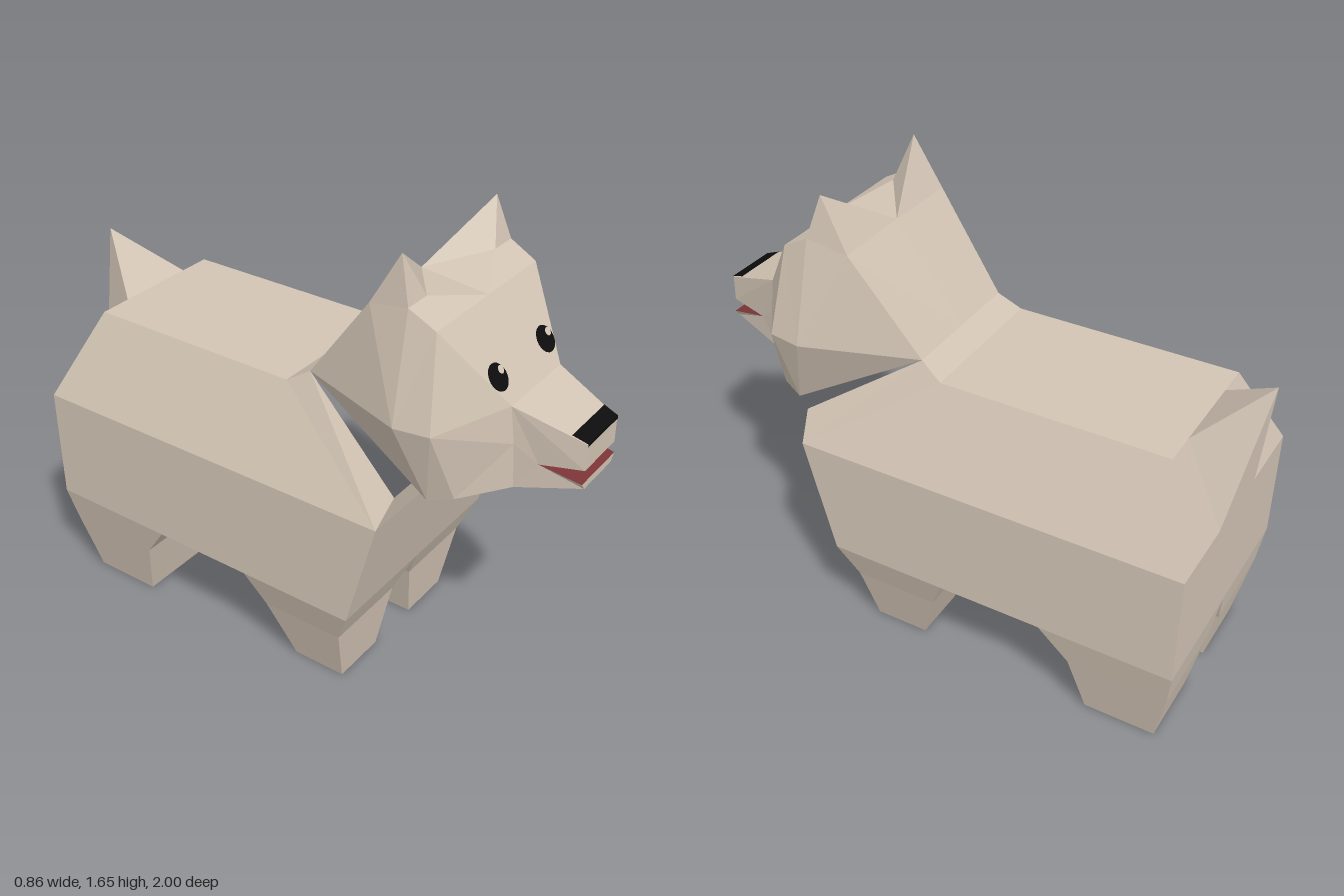
import * as THREE from 'three';

const mat = (name, color) => {
  const m = new THREE.MeshStandardMaterial({ color });
  m.name = name;
  return m;
};

// Builds faceted faces turned away from a centre point; also mirrors them across x = 0.
function facets(name, material, centre, polys, mirror = true) {
  const pos = [], c = new THREE.Vector3(...centre);
  for (const poly of polys) {
    for (let i = 1; i < poly.length - 1; i++) {
      const [a, b, d] = [poly[0], poly[i], poly[i + 1]].map(p => new THREE.Vector3(...p));
      const n = b.clone().sub(a).cross(d.clone().sub(a));
      const mid = a.clone().add(b).add(d).divideScalar(3).sub(c);
      const tri = n.dot(mid) >= 0 ? [a, b, d] : [a, d, b];
      for (const v of tri) pos.push(v.x, v.y, v.z);
      if (mirror) for (const v of [tri[0], tri[2], tri[1]]) pos.push(-v.x, v.y, v.z);
    }
  }
  const g = new THREE.BufferGeometry();
  g.setAttribute('position', new THREE.Float32BufferAttribute(pos, 3));
  g.computeVertexNormals();
  const mesh = new THREE.Mesh(g, material);
  mesh.name = name;
  return mesh;
}

const mid = ([, y, z]) => [0, y, z]; // point moved to the centre line

export function createModel() {
  const fur = mat('fur', 0xd2c4b4);
  const black = mat('black', 0x0c0c0c);
  const red = mat('mouth red', 0x7a3336);
  const model = new THREE.Group();
  model.name = 'dog';

  // Body: half of the trunk, mirrored
  const neck = [0.25, 1.14, 0.1], topF = [0.27, 1.09, 0.02], topB = [0.27, 1.09, -0.79];
  const chest = [0.36, 0.875, 0.5], sideF = [0.43, 0.78, 0.48], sideB = [0.43, 0.78, -0.925];
  const lowF = [0.43, 0.365, 0.37], lowB = [0.43, 0.365, -0.92];
  const tailTop = [0.15, 1.09, -0.79], tailLow = [0.15, 0.78, -0.925], tailTip = [0, 1.26, -1];
  model.add(facets('body', fur, [0, 0.65, -0.2], [
    [topF, mid(topF), mid(topB), topB],
    [neck, mid(neck), mid(topF), topF],
    [topF, topB, sideB, sideF],
    [neck, topF, sideF],
    [neck, sideF, chest],
    [sideF, sideB, lowB, lowF],
    [chest, mid(chest), mid(sideF), sideF],
    [sideF, mid(sideF), mid(lowF), lowF],
    [topB, tailTop, tailLow, sideB],
    [sideB, tailLow, mid(lowB), lowB],
    [lowF, mid(lowF), mid(lowB), lowB],
  ]));

  // Tail: upright spike growing out of the rump
  model.add(facets('tail', fur, [0, 0.95, -0.88], [
    [tailTop, mid(tailTop), tailTip],
    [tailTop, tailTip, tailLow],
    [tailTip, tailLow, mid(lowB)],
  ]));

  // Legs: three stacked rectangles of [y, inner x, outer x, back z, front z]
  const legs = {
    frontLeg: [[0.365, 0, 0.43, -0.06, 0.37], [0.23, 0.055, 0.385, 0, 0.31], [0, 0.11, 0.32, 0.08, 0.28]],
    backLeg: [[0.365, 0, 0.43, -0.92, -0.44], [0.23, 0.05, 0.4, -0.9, -0.54], [0, 0.085, 0.35, -0.85, -0.59]],
  };
  for (const [name, rows] of Object.entries(legs)) {
    const rings = rows.map(([y, x0, x1, z0, z1]) => [[x0, y, z0], [x1, y, z0], [x1, y, z1], [x0, y, z1]]);
    const polys = [rings[2]];
    for (let r = 0; r < 2; r++) for (let i = 0; i < 4; i++) {
      const j = (i + 1) % 4;
      polys.push([rings[r][i], rings[r][j], rings[r + 1][j], rings[r + 1][i]]);
    }
    const z = (rows[1][3] + rows[1][4]) / 2;
    model.add(facets(name + 's', fur, [0.22, 0.2, z], polys));
  }

  // Head
  const brow = [0.295, 1.45, 0.585], earOut = [0.3, 1.5, 0.49], earIn = [0.2, 1.5, 0.49];
  const crown = [0, 1.475, 0.345], earBack = [0.285, 1.47, 0.345], earTip = [0.27, 1.65, 0.445];
  const cheekB = [0.385, 1.14, 0.5], cheekF = [0.365, 1.14, 0.62];
  const jawB = [0.3, 0.865, 0.58], jawF = [0.27, 0.885, 0.66];
  const root = [0.155, 1.2, 0.77], lip = [0.15, 1.07, 0.785], throat = [0.14, 0.91, 0.79];
  const throat0 = [0, 0.885, 0.79];
  model.add(facets('head', fur, [0, 1.12, 0.5], [
    [crown, earIn, mid(brow)],
    [brow, mid(brow), earIn],
    [brow, earIn, earOut],
    [brow, mid(brow), mid(root), root],
    [brow, root, cheekF],
    [brow, cheekF, cheekB],
    [cheekB, brow, earOut, earBack],
    [earBack, cheekB, neck],
    [earBack, crown, mid(neck), neck],
    [neck, cheekB, jawB],
    [cheekB, cheekF, jawB],
    [cheekF, jawF, jawB],
    [cheekF, lip, jawF],
    [cheekF, root, lip],
    [lip, throat, jawF],
    [jawB, jawF, throat, throat0, mid(jawB)],
    [jawB, mid(jawB), mid(chest), chest],
    [neck, jawB, chest],
  ]));

  // Ears
  model.add(facets('ears', fur, [0.24, 1.52, 0.43], [
    [earTip, earOut, earIn],
    [earTip, earIn, crown],
    [earTip, crown, earBack],
    [earTip, earBack, earOut],
  ]));

  // Muzzle and lower jaw with an open mouth between them
  const tip = [0.097, 1.12, 1], upper = [0.1, 1.03, 1], corner = [0.125, 1.012, 0.86];
  const lower = [0.11, 0.985, 1], chin = [0.09, 0.96, 1];
  const muzzleC = [0, 1.09, 0.85], jawC = [0, 0.95, 0.85];
  model.add(facets('muzzle', fur, muzzleC, [
    [root, mid(root), mid(tip), tip],
    [tip, mid(tip), mid(upper), upper],
    [root, tip, upper, corner, lip],
  ]));
  model.add(facets('palate', black, muzzleC, [[upper, mid(upper), mid(corner), corner]]));
  model.add(facets('lowerJaw', fur, jawC, [
    [lip, corner, throat],
    [corner, lower, chin, throat],
    [lower, mid(lower), mid(chin), chin],
    [chin, mid(chin), throat0, throat],
  ]));
  model.add(facets('tongue', red, jawC, [[lower, mid(lower), mid(corner), corner]]));

  // Nose: thin plate along the muzzle tip
  const noseB = [0.107, 1.141, 0.95], noseF = [0.1, 1.124, 1.001], noseD = [0.1, 1.114, 1.001];
  model.add(facets('nose', black, [0, 1.1, 0.94], [
    [noseB, mid(noseB), mid(noseF), noseF],
    [noseF, mid(noseF), mid(noseD), noseD],
  ]));

  // Eyes: flat discs on the sloping face, each with a small pale glint
  for (const [name, x] of [['leftEye', 0.147], ['rightEye', -0.147]]) {
    const eye = new THREE.Group();
    eye.name = name;
    const disc = new THREE.Mesh(new THREE.CircleGeometry(0.045, 20), black);
    disc.name = 'pupil';
    const glint = new THREE.Mesh(new THREE.CircleGeometry(0.014, 12), fur);
    glint.name = 'glint';
    glint.position.set(0.026, 0.014, 0.002);
    eye.add(disc, glint);
    eye.position.set(x, 1.277, 0.715);
    eye.rotation.x = -Math.atan2(0.185, 0.25);
    model.add(eye);
  }
  return model;
}
